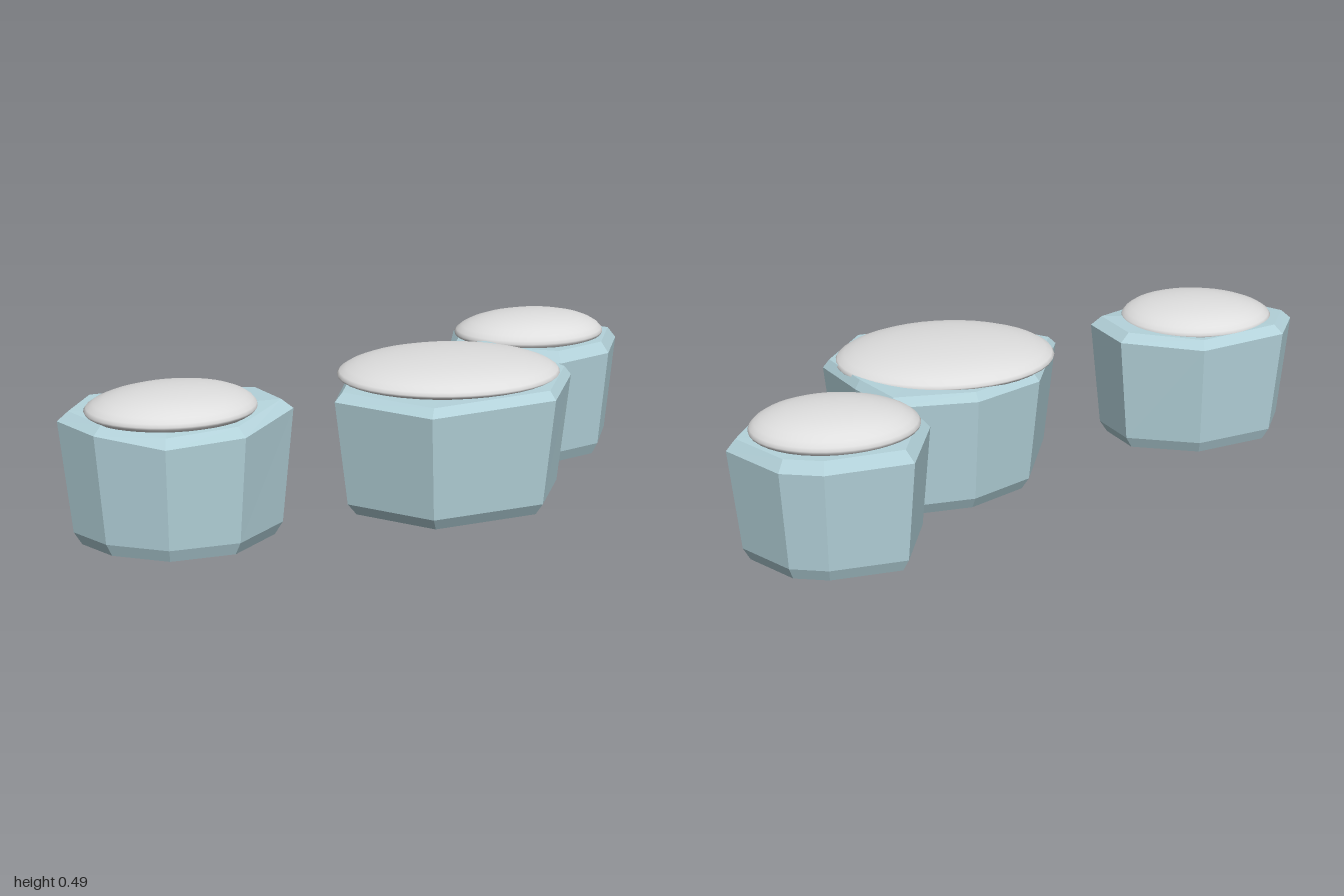
import * as THREE from 'three';

const stoneMat = new THREE.MeshStandardMaterial({ color: 0xb4d3db });
stoneMat.name = 'paleBlueStone';
const snowMat = new THREE.MeshStandardMaterial({ color: 0xdedede });
snowMat.name = 'snow';

// Rim corners [x, z, shoulder height] run back, right, front, left; snow is an ellipse on top.
const STONES = [
  {
    name: 'leftStone', inset: 0.9, bevel: 0.03,
    rim: [[-0.62, 0.11, 0.39], [-0.355, 0.21, 0.40], [-0.29, 0.39, 0.405], [-0.46, 0.57, 0.375],
      [-0.70, 0.60, 0.36], [-0.90, 0.50, 0.385], [-1.0, 0.36, 0.395], [-0.92, 0.195, 0.40]],
    snow: { x: -0.66, z: 0.375, rx: 0.262, rz: 0.217, base: 0.418, height: 0.072, lean: 0.04 },
  },
  {
    name: 'middleStone', inset: 0.94, bevel: 0.028,
    rim: [[0.195, -0.19, 0.39], [0.475, -0.215, 0.40], [0.57, -0.05, 0.405], [0.655, 0.17, 0.40],
      [0.53, 0.42, 0.39], [0.115, 0.51, 0.38], [-0.145, 0.29, 0.385], [-0.025, -0.055, 0.39]],
    snow: { x: 0.255, z: 0.14, rx: 0.362, rz: 0.292, base: 0.417, height: 0.072, lean: 0 },
  },
  {
    name: 'rightStone', inset: 0.9, bevel: 0.037,
    rim: [[0.445, -0.57, 0.37], [0.715, -0.60, 0.365], [0.845, -0.56, 0.365], [0.99, -0.38, 0.37],
      [0.895, -0.17, 0.37], [0.70, -0.085, 0.365], [0.52, -0.15, 0.37], [0.365, -0.31, 0.37]],
    snow: { x: 0.66, z: -0.35, rx: 0.262, rz: 0.202, base: 0.41, height: 0.077, lean: 0.02 },
  },
];

// Faceted block: foot, lower chamfer, shoulder and top loops joined by flat faces.
function stoneGeometry({ rim, inset, bevel }) {
  const n = rim.length;
  const cx = rim.reduce((s, p) => s + p[0], 0) / n;
  const cz = rim.reduce((s, p) => s + p[1], 0) / n;
  const loop = (scale, height) => rim.map(([x, z, y]) =>
    [cx + (x - cx) * scale, height(y), cz + (z - cz) * scale]);
  const loops = [
    loop(0.83, () => 0),
    loop(0.9, () => 0.04),
    loop(1, (y) => y),
    loop(inset, (y) => y + bevel),
  ];
  const topY = loops[3].reduce((s, p) => s + p[1], 0) / n;
  const pos = [];
  const tri = (a, b, c) => pos.push(...a, ...b, ...c);
  for (let i = 0; i < n; i++) {
    const j = (i + 1) % n;
    for (let k = 0; k < 3; k++) {
      const lo = loops[k], hi = loops[k + 1];
      tri(lo[j], lo[i], hi[i]);
      tri(lo[j], hi[i], hi[j]);
    }
    tri([cx, topY, cz], loops[3][j], loops[3][i]);
    tri([cx, 0, cz], loops[0][i], loops[0][j]);
  }
  const geo = new THREE.BufferGeometry();
  geo.setAttribute('position', new THREE.Float32BufferAttribute(pos, 3));
  geo.computeVertexNormals();
  return geo;
}

// Smooth cushion of snow with a rounded rim, its crest leaning sideways a little.
function snowGeometry({ x, z, rx, rz, base, height, lean }) {
  const profile = [[0, -0.25], [0.85, -0.22], [0.95, -0.12], [0.99, 0], [1, 0.1], [0.98, 0.24], [0.92, 0.42],
    [0.82, 0.6], [0.68, 0.76], [0.5, 0.89], [0.28, 0.97], [0.12, 0.995], [0, 1]];
  const geo = new THREE.LatheGeometry(profile.map(([r, y]) => new THREE.Vector2(r, y)), 40);
  const p = geo.attributes.position;
  for (let i = 0; i < p.count; i++) {
    const y = p.getY(i);
    p.setXYZ(i, x + p.getX(i) * rx + lean * Math.max(0, y) ** 2,
      base + y * height, z + p.getZ(i) * rz);
  }
  // Averaging across the lathe seam is unnecessary: scaled normals stay exact there.
  const nrm = geo.attributes.normal;
  const v = new THREE.Vector3();
  for (let i = 0; i < nrm.count; i++) {
    v.set(nrm.getX(i) / rx, nrm.getY(i) / height, nrm.getZ(i) / rz).normalize();
    nrm.setXYZ(i, v.x, v.y, v.z);
  }
  return geo;
}

export function createModel() {
  const model = new THREE.Group();
  model.name = 'snowyStones';
  for (const spec of STONES) {
    const group = new THREE.Group();
    group.name = spec.name;
    const block = new THREE.Mesh(stoneGeometry(spec), stoneMat);
    block.name = 'block';
    const snow = new THREE.Mesh(snowGeometry(spec.snow), snowMat);
    snow.name = 'snowCap';
    group.add(block, snow);
    model.add(group);
  }
  return model;
}
